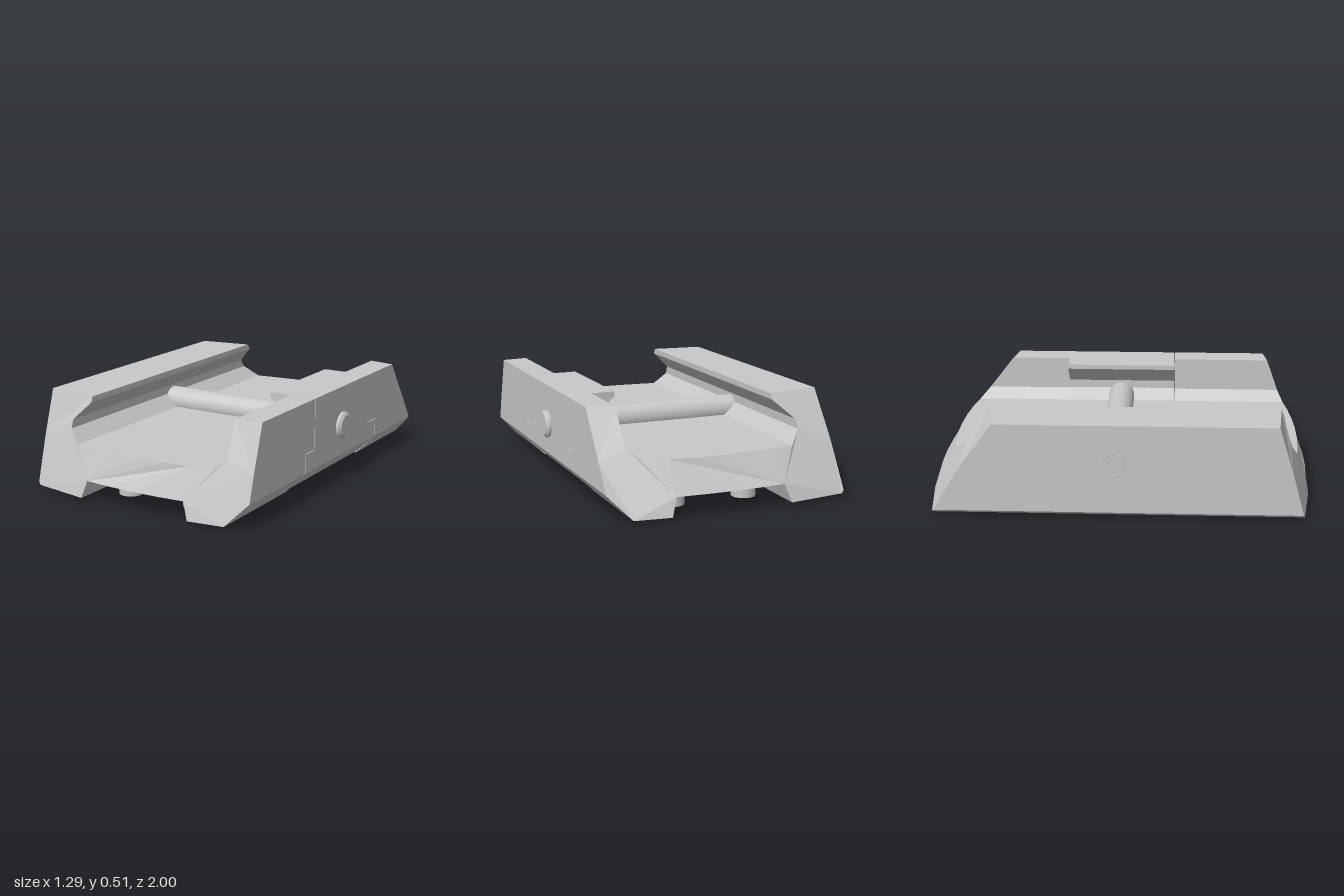
import * as THREE from 'three';
import { mergeGeometries } from 'three/addons/utils/BufferGeometryUtils.js';

const metal = new THREE.MeshStandardMaterial({ color: 0xc8c8c8 });
metal.name = 'plain grey metal';

// End shape: [height, reach on the centre line, reach at the outer sides]
const FRONT = [[0.025, 1.015, 0.945], [0.115, 0.998, 0.92], [0.275, 0.945, 0.875], [0.51, 0.845, 0.8]];
const BACK = [[0.025, 1.015, 0.955], [0.115, 0.985, 0.92], [0.275, 0.895, 0.805], [0.51, 0.7, 0.632]];

// Distance of a sloped, bowed end face from the middle at (x, y)
function reach(table, x, y) {
  let i = 0;
  while (i < table.length - 2 && y > table[i + 1][0]) i++;
  const [a, b] = [table[i], table[i + 1]];
  const t = (y - a[0]) / (b[0] - a[0]);
  const inner = a[1] + (b[1] - a[1]) * t;
  const outer = a[2] + (b[2] - a[2]) * t;
  return inner + (outer - inner) * (x / 0.645) ** 2;
}

// Prism between two z values; either may be a function of (x, y)
function prismGeometry(points, z0, z1) {
  const shape = new THREE.Shape(points.map(p => new THREE.Vector2(...p)));
  const geo = new THREE.ExtrudeGeometry(shape, { depth: 1, bevelEnabled: false });
  const pos = geo.attributes.position;
  const at = (z, x, y) => (typeof z === 'function' ? z(x, y) : z);
  for (let i = 0; i < pos.count; i++) {
    pos.setZ(i, at(pos.getZ(i) < 0.5 ? z0 : z1, pos.getX(i), pos.getY(i)));
  }
  geo.computeVertexNormals();
  return geo;
}

function prism(name, points, z0, z1) {
  return named(name, prismGeometry(points, z0, z1));
}

function named(name, geo) {
  const mesh = new THREE.Mesh(geo, metal);
  mesh.name = name;
  return mesh;
}

// Cross-section pieces, drawn from the left wall round to the right one
const SEAM = 0.29;
const leftRail = [
  [-0.645, 0.04], [-0.645, 0.275], [-0.645, 0.51], [-0.36, 0.51], [-0.36, 0.48],
  [-0.46, 0.385], [-0.46, 0.34], [-0.39, 0.275], [-SEAM, 0.275],
];
const rightRail = [
  [SEAM, 0.275], [0.42, 0.275], [0.48, 0.33], [0.48, 0.51], [0.62, 0.51],
  [0.62, 0.275], [0.62, 0.14], [0.51, 0.025],
];
const rightFoot = [[0.32, 0.025], [SEAM, 0.115]];
const leftFoot = [[-SEAM, 0.115], [-0.32, 0.025], [-0.63, 0.025]];
const across = [-SEAM, -0.15, 0, 0.15, SEAM];
const web = [...across.map(x => [x, 0.275]), ...across.map(x => [-x, 0.115])];

// Shaped end: left, centre and right blocks joined without their inner walls
function endBody(name, z0, z1) {
  const blocks = [[...leftRail, ...leftFoot], web, [...rightRail, ...rightFoot]];
  const geo = mergeGeometries(blocks.map(b => prismGeometry(b, z0, z1)));
  const pos = geo.attributes.position;
  const keep = [];
  for (let i = 0; i < pos.count; i += 3) {
    const corners = [i, i + 1, i + 2];
    const inner = corners.every(c => Math.abs(Math.abs(pos.getX(c)) - SEAM) < 1e-4);
    if (!inner) keep.push(...corners);
  }
  geo.setIndex(keep);
  return named(name, geo.toNonIndexed());
}

export function createModel() {
  const model = new THREE.Group();
  model.name = 'railMount';

  // Body: two shaped ends and a middle with room for the clamp
  const open = [...leftRail, [0.4, 0.275], [0.4, 0.025], ...rightFoot, ...leftFoot];
  model.add(
    endBody('frontBody', 0.38, (x, y) => reach(FRONT, x, y)),
    prism('middleBody', open, -0.43, 0.38),
    endBody('backBody', (x, y) => -reach(BACK, x, y), -0.43),
  );

  // Rail shoulders beside the clamp
  const shoulder = [
    [0.4, 0.275], [0.42, 0.275], [0.48, 0.33], [0.48, 0.51], [0.62, 0.51],
    [0.62, 0.244], [0.4, 0.244],
  ];
  model.add(
    prism('frontShoulder', shoulder, 0.284, 0.38),
    prism('backShoulder', shoulder, -0.43, -0.33),
  );

  // Clamp jaw: hooked upper part on a wider foot
  const jaw = [
    [0.355, 0.51], [0.62, 0.51], [0.62, 0.24], [0.4, 0.24], [0.4, 0.275],
    [0.42, 0.275], [0.46, 0.34], [0.46, 0.385], [0.355, 0.485],
  ];
  const jawFoot = [[0.404, 0.24], [0.62, 0.24], [0.62, 0.14], [0.52, 0.04], [0.404, 0.04]];
  model.add(
    prism('clampJaw', jaw, -0.33, 0.28),
    prism('clampFoot', jawFoot, -0.426, 0.376),
  );

  // Cross bolt with a chamfered head on the outside of the clamp
  const bolt = new THREE.Group();
  bolt.name = 'crossBolt';
  bolt.position.set(0, 0.3, -0.025);
  const rod = named('boltRod', new THREE.CylinderGeometry(0.073, 0.073, 0.94, 24));
  rod.rotation.z = -Math.PI / 2;
  const rim = named('boltHeadRim', new THREE.CylinderGeometry(0.073, 0.073, 0.02, 24));
  rim.rotation.z = -Math.PI / 2;
  rim.position.x = 0.622;
  const cap = named('boltHeadCap', new THREE.CylinderGeometry(0.056, 0.073, 0.013, 24));
  cap.rotation.z = -Math.PI / 2;
  cap.position.x = 0.6385;
  bolt.add(rod, rim, cap);

  // Slotted bolt end showing on the left wall
  const ring = named('boltEndRing', new THREE.TorusGeometry(0.058, 0.004, 6, 24));
  ring.rotation.y = Math.PI / 2;
  ring.position.x = -0.643;
  const slot = named('boltEndSlot', new THREE.BoxGeometry(0.006, 0.014, 0.1));
  slot.rotation.x = 0.6;
  slot.position.x = -0.6435;
  bolt.add(ring, slot);
  model.add(bolt);

  // Four locating pegs under the base
  for (const x of [-0.198, 0.2]) {
    for (const z of [0.74, -0.71]) {
      const peg = named('locatingPeg', new THREE.CylinderGeometry(0.064, 0.064, 0.12, 16));
      peg.position.set(x, 0.06, z);
      model.add(peg);
    }
  }

  // Tapered square boss between the pegs
  const bossGeo = new THREE.CylinderGeometry(0.122 * Math.SQRT2, 0.105 * Math.SQRT2, 0.065, 4, 1)
    .rotateY(Math.PI / 4).toNonIndexed();
  bossGeo.computeVertexNormals();
  const boss = named('centreBoss', bossGeo);
  boss.position.set(0, 0.0855, 0.015);
  model.add(boss);

  return model;
}
